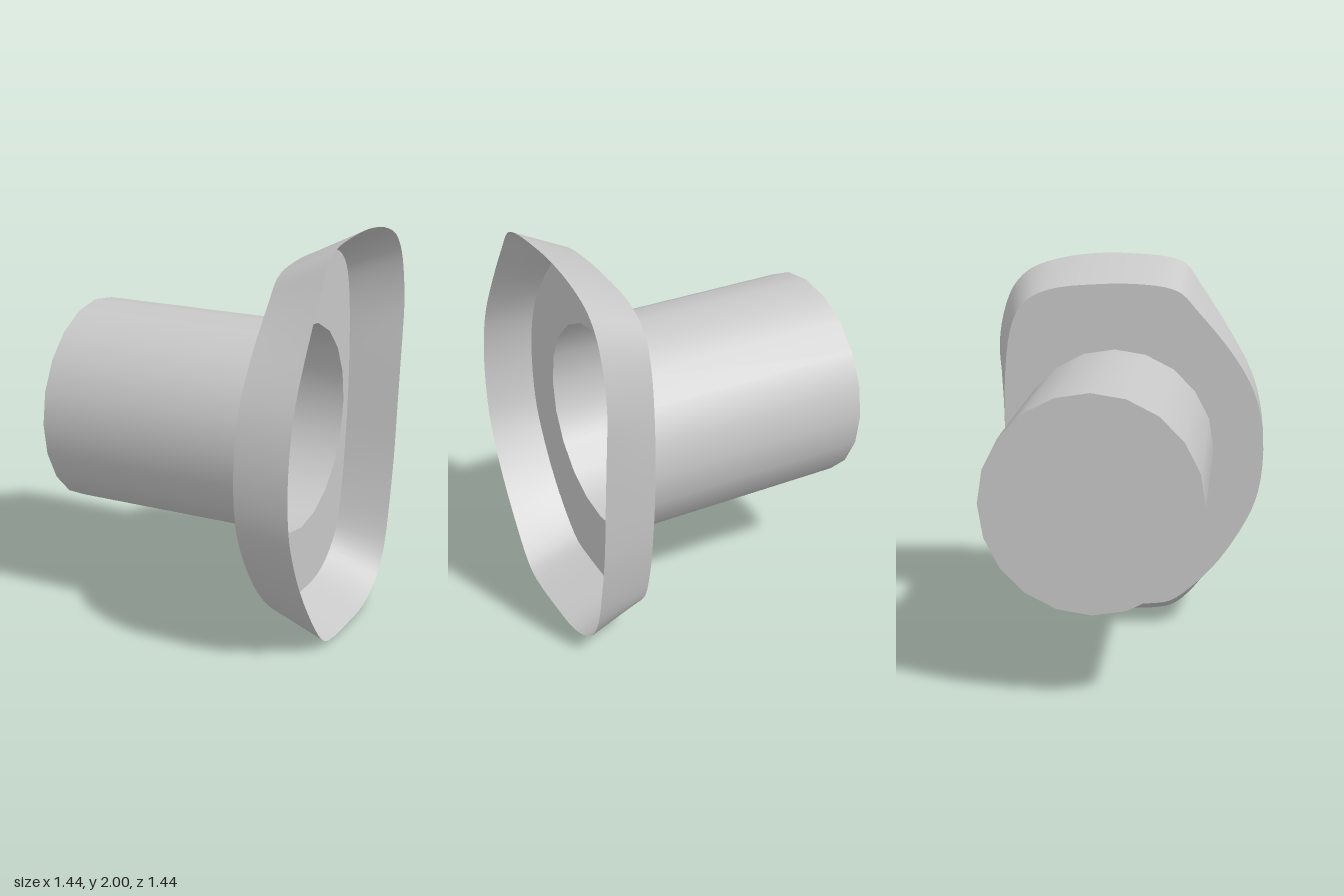
import * as THREE from 'three';

const FLOOR_X = 0.455, RIM_X = 0.722, END_X = -0.722;
const TUBE = { y: 1.0, z: -0.065, r: 0.525, sides: 20 };

// Matching outlines as [z, y], running from the top towards -z
const RIM = [
  [0, 2], [-0.18, 2], [-0.39, 1.97], [-0.55, 1.91], [-0.64, 1.815], [-0.695, 1.67], [-0.72, 1.5],
  [-0.705, 1.285], [-0.68, 1], [-0.655, 0.7], [-0.615, 0.465], [-0.565, 0.255], [-0.495, 0.13],
  [-0.4, 0.06], [-0.27, 0.012], [-0.1, 0.003], [0.19, 0.02], [0.28, 0.065], [0.405, 0.205],
  [0.565, 0.44], [0.66, 0.635], [0.705, 0.78], [0.722, 1], [0.7, 1.205], [0.65, 1.375],
  [0.54, 1.58], [0.37, 1.845], [0.29, 1.95], [0.2, 1.983],
];
const FLOOR = [
  [0, 1.87], [-0.17, 1.865], [-0.37, 1.845], [-0.5, 1.8], [-0.58, 1.72], [-0.622, 1.6], [-0.645, 1.43],
  [-0.655, 1.2], [-0.65, 0.97], [-0.63, 0.73], [-0.595, 0.49], [-0.54, 0.305], [-0.475, 0.225],
  [-0.39, 0.163], [-0.27, 0.122], [-0.12, 0.115], [0.15, 0.13], [0.235, 0.147], [0.35, 0.23],
  [0.5, 0.39], [0.645, 0.625], [0.7, 0.775], [0.722, 1], [0.7, 1.205], [0.645, 1.36],
  [0.53, 1.54], [0.36, 1.74], [0.285, 1.82], [0.2, 1.853],
];

// Smooth closed loop in the plane x
function loop(points, x) {
  const curve = new THREE.CatmullRomCurve3(points.map(([z, y]) => new THREE.Vector3(x, y, z)), true);
  return curve.getPoints(points.length * 3).slice(0, -1);
}

// Band of quads joining two closed loops
function band(a, b) {
  const n = a.length, index = [];
  for (let i = 0; i < n; i++) {
    const j = (i + 1) % n;
    index.push(i, n + i, j, j, n + i, n + j);
  }
  const geometry = new THREE.BufferGeometry().setFromPoints([...a, ...b]);
  geometry.setIndex(index);
  geometry.computeVertexNormals();
  return geometry;
}

export function createModel() {
  const group = new THREE.Group();
  const grey = new THREE.MeshStandardMaterial({ color: 0xc8c8c8, side: THREE.DoubleSide });
  grey.name = 'light grey';
  const add = (name, geometry) => {
    const mesh = new THREE.Mesh(geometry, grey);
    mesh.name = name;
    group.add(mesh);
    return mesh;
  };

  // Flared wall of the cup
  const inner = loop(FLOOR, FLOOR_X);
  add('flaredWall', band(inner, loop(RIM, RIM_X)));

  // Flat cup floor with the round tube opening
  const shape = new THREE.Shape(inner.map((p) => new THREE.Vector2(-p.z, p.y)));
  const hole = [];
  for (let i = 0; i < TUBE.sides; i++) {
    const t = (i / TUBE.sides) * Math.PI * 2;
    hole.push(new THREE.Vector2(-TUBE.z + TUBE.r * Math.cos(t), TUBE.y + TUBE.r * Math.sin(t)));
  }
  shape.holes.push(new THREE.Path(hole));
  add('cupFloor', new THREE.ShapeGeometry(shape).rotateY(Math.PI / 2)).position.x = FLOOR_X;

  // Hollow tube
  const tube = new THREE.CylinderGeometry(TUBE.r, TUBE.r, FLOOR_X - END_X, TUBE.sides, 1, true);
  add('tube', tube.rotateZ(Math.PI / 2)).position.set((FLOOR_X + END_X) / 2, TUBE.y, TUBE.z);

  // Closed end of the tube
  const cap = new THREE.CircleGeometry(TUBE.r, TUBE.sides).rotateY(-Math.PI / 2);
  add('tubeEnd', cap).position.set(END_X, TUBE.y, TUBE.z);

  return group;
}
